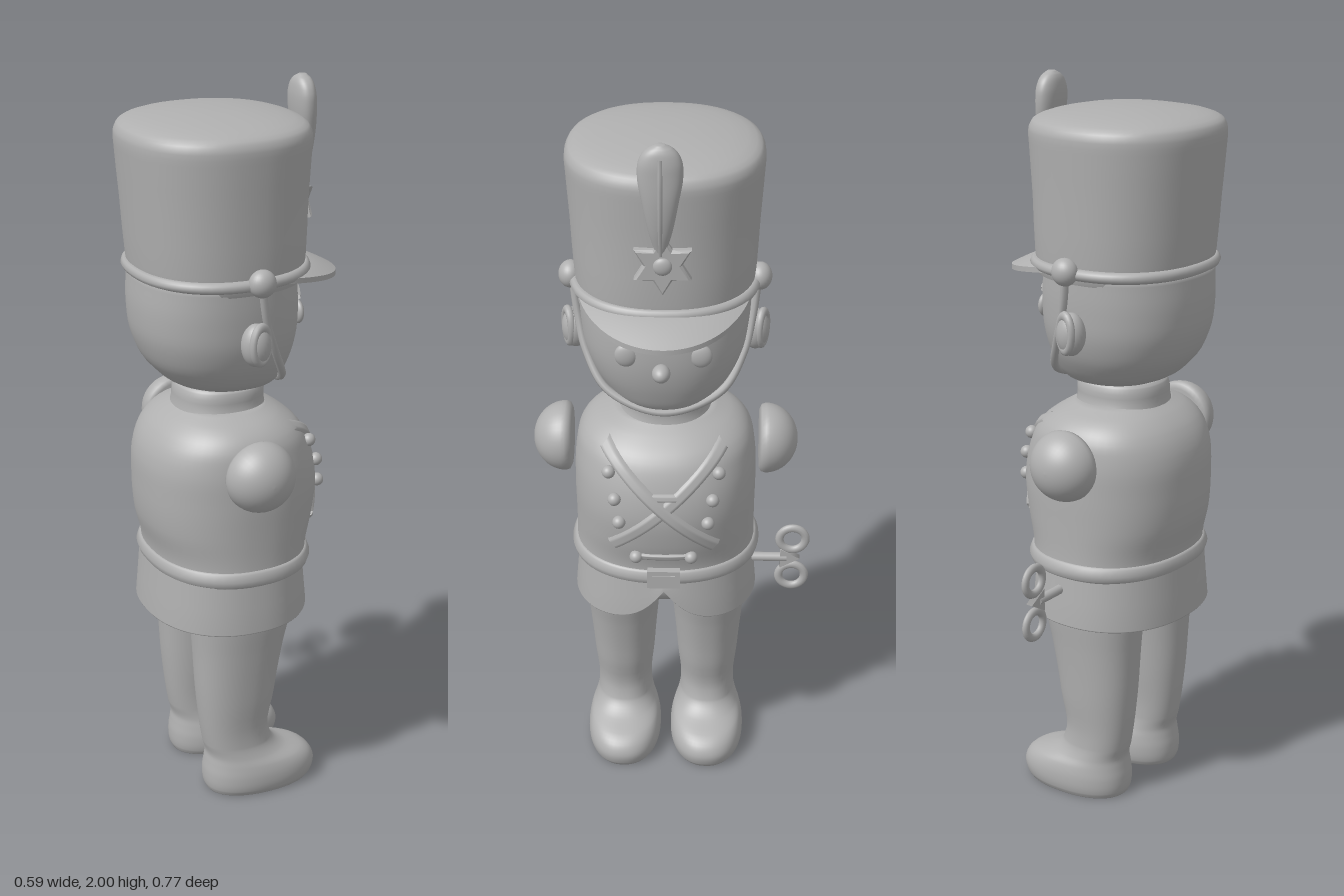
import * as THREE from 'three';

const grey = new THREE.MeshStandardMaterial({ color: 0xb0b0b0, side: THREE.DoubleSide });
grey.name = 'plain grey';
const MID = -0.02; // centre line of the figure
const POW = 2.25; // slightly squared ellipse for cross-sections

// Closed skin over rows of points; pt(row, angle) gives [x, y, z], angle 0 faces +z
function skin(rows, pt, seg = 56) {
  const pos = [], idx = [];
  for (let i = 0; i < rows; i++)
    for (let j = 0; j < seg; j++) pos.push(...pt(i, (j / seg) * Math.PI * 2));
  for (let i = 0; i < rows - 1; i++)
    for (let j = 0; j < seg; j++) {
      const k = (j + 1) % seg, a = i * seg + j, b = i * seg + k, c = b + seg, d = a + seg;
      idx.push(a, b, c, a, c, d);
    }
  const g = new THREE.BufferGeometry();
  g.setAttribute('position', new THREE.Float32BufferAttribute(pos, 3));
  g.setIndex(idx);
  g.computeVertexNormals();
  return g;
}

// Cross-section [halfWidth, centreZ, halfDepth] at any height of a row table
function profile(rows) {
  const f = new THREE.CubicInterpolant(rows.map(r => r[0]), rows.flatMap(r => r.slice(1)), 3);
  return y => Array.from(f.evaluate(y));
}
const pw = v => Math.sign(v) * Math.abs(v) ** (2 / POW);

// Smooth body through rows [y, halfWidth, centreZ, halfDepth], closed at both ends
function loft(rows, cx = MID, steps = 5) {
  const at = profile(rows), ys = [rows[0][0]];
  for (let i = 1; i < rows.length; i++)
    for (let s = 1; s <= steps; s++)
      ys.push(THREE.MathUtils.lerp(rows[i - 1][0], rows[i][0], s / steps));
  const list = ys.map(y => [y, ...at(y)]);
  const first = list[0], last = list[list.length - 1];
  const cap = r => [r[0], 0, r[2], 0];
  const all = [cap(first), [first[0], first[1] * 0.97, first[2], first[3] * 0.97], ...list, cap(last)];
  return skin(all.length, (i, t) => {
    const [y, rx, cz, rz] = all[i];
    return [cx + rx * pw(Math.sin(t)), y, cz + rz * pw(Math.cos(t))];
  });
}

// Front surface depth of a lofted body
function frontOf(rows) {
  const at = profile(rows);
  return (x, y) => {
    const [rx, cz, rz] = at(y);
    return cz + rz * Math.max(0, 1 - Math.abs((x - MID) / rx) ** POW) ** (1 / POW);
  };
}

// Raised band running over a surface between two front-view points
function band(front, [ax, ay], [bx, by], width, lift) {
  const g = new THREE.PlaneGeometry(1, 1, 24, 6), p = g.attributes.position;
  const len = Math.hypot(bx - ax, by - ay), nx = -(by - ay) / len, ny = (bx - ax) / len;
  for (let i = 0; i < p.count; i++) {
    const u = p.getX(i) + 0.5, v = p.getY(i);
    const x = ax + (bx - ax) * u + nx * v * width, y = ay + (by - ay) * u + ny * v * width;
    p.setXYZ(i, x, y, front(x, y) + (Math.abs(v) > 0.45 ? -0.006 : lift));
  }
  g.computeVertexNormals();
  return g;
}

const torsoRows = [
  [0.68, 0.252, -0.02, 0.213], [0.74, 0.249, -0.02, 0.217], [0.82, 0.249, -0.02, 0.237],
  [0.92, 0.25, -0.018, 0.246], [1.02, 0.245, -0.025, 0.232], [1.08, 0.228, -0.028, 0.2],
  [1.115, 0.19, -0.033, 0.158], [1.14, 0.13, -0.035, 0.115]];
const headRows = [
  [1.175, 0.055, 0.03, 0.06], [1.2, 0.125, -0.01, 0.13], [1.25, 0.178, -0.035, 0.18],
  [1.33, 0.215, -0.047, 0.213], [1.42, 0.227, -0.051, 0.222], [1.52, 0.23, -0.053, 0.215]];
const legRows = [
  [0, 0.095, 0.032, 0.155], [0.015, 0.103, 0.034, 0.163], [0.055, 0.107, 0.035, 0.166],
  [0.09, 0.1, 0.022, 0.148], [0.115, 0.088, -0.01, 0.113], [0.15, 0.079, -0.033, 0.099],
  [0.3, 0.088, -0.038, 0.113], [0.45, 0.1, -0.03, 0.13], [0.55, 0.11, -0.022, 0.145],
  [0.64, 0.113, -0.02, 0.15]];
const hatRows = [
  [1.495, 0.232, -0.04, 0.222], [1.55, 0.238, -0.041, 0.23], [1.7, 0.246, -0.045, 0.238],
  [1.84, 0.255, -0.047, 0.248], [1.87, 0.256, -0.047, 0.249], [1.89, 0.25, -0.047, 0.243],
  [1.905, 0.232, -0.047, 0.226], [1.92, 0.17, -0.047, 0.165], [1.93, 0.07, -0.047, 0.07]];
const plumeRows = [
  [1.71, 0.014, 0.198, 0.014], [1.77, 0.03, 0.206, 0.022], [1.85, 0.045, 0.212, 0.026],
  [1.92, 0.056, 0.208, 0.03], [1.965, 0.05, 0.207, 0.028], [1.99, 0.03, 0.207, 0.02],
  [2, 0.01, 0.207, 0.01]];

export function createModel() {
  const model = new THREE.Group(), body = new THREE.Group();
  model.name = 'toySoldier';
  body.name = 'soldierFigure';
  body.rotation.y = Math.PI / 2; // the figure looks along +x
  model.add(body);
  const add = (name, geo, x = 0, y = 0, z = 0, sx = 1, sy = sx, sz = sx) => {
    const m = new THREE.Mesh(geo, grey);
    m.name = name;
    m.position.set(x, y, z);
    m.scale.set(sx, sy, sz);
    body.add(m);
    return m;
  };
  const ball = new THREE.SphereGeometry(1, 28, 18);
  const chest = frontOf(torsoRows), face = frontOf(headRows);

  // Legs with boots, and the seat between them
  for (const s of [-1, 1]) add(s < 0 ? 'rightLeg' : 'leftLeg', loft(legRows, MID + s * 0.122));
  add('pelvis', ball, MID, 0.62, -0.02, 0.22, 0.105, 0.155);

  // Coat skirt with a parted front hem: inside centre, inner wall, hem, outer wall
  const skirt = [[0, 0, 1], [0.87, 0.1, 1], [0.95, 0.0, 0], [1, 0.004, 0], [1.01, 0.03, 0], [0.985, 0.5, 0], [0.96, 1, 0]];
  add('coatSkirt', skin(skirt.length, (i, t) => {
    const [r, k, inner] = skirt[i];
    const a = Math.min(t, Math.PI * 2 - t), hem = 0.54 + 0.115 * Math.exp(-4.7 * a);
    const y = inner ? 0.665 : THREE.MathUtils.lerp(hem, 0.69, k);
    return [MID + 0.255 * r * pw(Math.sin(t)), y, -0.027 + 0.224 * r * pw(Math.cos(t))];
  }, 96));

  // Jacket, belt and collar
  add('jacket', loft(torsoRows));
  add('belt', loft([[0.68, 0.25, -0.02, 0.212], [0.686, 0.259, -0.02, 0.222],
    [0.72, 0.257, -0.02, 0.222], [0.727, 0.248, -0.02, 0.214]], MID, 2));
  add('collar', loft([[1.11, 0.135, -0.035, 0.13], [1.15, 0.122, -0.035, 0.122],
    [1.19, 0.118, -0.033, 0.118], [1.2, 0.108, -0.033, 0.108]], MID, 3));
  add('beltBuckle', new THREE.BoxGeometry(0.09, 0.056, 0.03), MID, 0.708, 0.2);
  add('buckleInset', new THREE.BoxGeometry(0.062, 0.03, 0.036), MID, 0.708, 0.2);

  // Crossed straps, chest bars and buttons
  for (const s of [-1, 1]) {
    add('crossStrap', band(chest, [MID - s * 0.16, 1.095], [MID + s * 0.14, 0.81], 0.042, 0.009 + s * 0.002));
    for (const [dx, y] of [[0.148, 1.035], [0.132, 0.967], [0.12, 0.9], [0.075, 0.782]])
      add('button', ball, MID + s * dx, y, chest(MID + s * dx, y) + 0.006, 0.018);
  }
  for (const [y, w] of [[0.782, 0.07], [0.985, 0.035]])
    add('chestBar', band(chest, [MID - w, y], [MID + w, y], 0.022, 0.008));

  // Rounded stub arms with flat inner faces
  const armPoints = [[0, 0], [0.08, 0], [0.093, 0.006]].map(p => new THREE.Vector2(...p));
  for (let i = 0; i <= 14; i++) {
    const a = (i / 14) * Math.PI / 2;
    armPoints.push(new THREE.Vector2(0.097 * Math.cos(a), 0.018 + 0.089 * Math.sin(a)));
  }
  for (const s of [-1, 1])
    add('armStub', new THREE.LatheGeometry(armPoints, 36), MID + s * 0.258, 1.015, -0.04)
      .rotation.z = -s * Math.PI / 2;

  // Head, face and ears
  add('head', loft(headRows));
  add('nose', ball, MID - 0.005, 1.355, face(MID, 1.355) + 0.022, 0.024, 0.023, 0.03);
  for (const s of [-1, 1]) {
    const ex = MID + s * 0.097;
    add('eye', ball, ex, 1.388, face(ex, 1.388), 0.03, 0.033, 0.014);
    add('eyebrow', band(face, ...[[ex - 0.035, 1.447 - s * -0.008], [ex + 0.035, 1.447 - s * 0.008]], 0.016, 0.007));
    add('ear', ball, MID + s * 0.24, 1.365, -0.035, 0.037, 0.058, 0.04);
    add('earRim', new THREE.TorusGeometry(0.037, 0.011, 10, 28), MID + s * 0.258, 1.37, -0.03, 0.8, 1.25, 1)
      .rotation.y = s * 1.2;
    add('strapBoss', ball, MID + s * 0.248, 1.53, -0.022, 0.032, 0.037, 0.037);
  }

  // Chin strap
  const half = [[0.243, 1.52, -0.02], [0.23, 1.42, 0.0], [0.208, 1.33, 0.035], [0.15, 1.24, 0.085]];
  const strapPath = [...half.map(([x, y, z]) => [-x, y, z]), [0, 1.192, 0.118], ...half.slice().reverse()]
    .map(([x, y, z]) => new THREE.Vector3(MID + x, y, z));
  add('chinStrap', new THREE.TubeGeometry(new THREE.CatmullRomCurve3(strapPath), 64, 0.011, 8));

  // Tall hat with a band and a drooping peak
  add('hat', loft(hatRows, MID, 2));
  add('hatBand', loft([[1.508, 0.236, -0.04, 0.226], [1.514, 0.248, -0.04, 0.238],
    [1.532, 0.249, -0.04, 0.239], [1.54, 0.238, -0.04, 0.23]], MID, 2));
  const peak = new THREE.BoxGeometry(2.6, 0.014, 1, 48, 1, 8), pp = peak.attributes.position;
  for (let i = 0; i < pp.count; i++) {
    const t = pp.getX(i), v = pp.getZ(i) + 0.5, c = Math.max(0, Math.cos(t * 1.2));
    pp.setXYZ(i, MID + 0.238 * Math.sin(t), 1.522 + pp.getY(i) - 0.045 * c * v ** 1.3,
      -0.042 + 0.23 * Math.cos(t) + 0.107 * Math.sqrt(c) * v);
  }
  peak.computeVertexNormals();
  add('hatPeak', peak);

  // Star badge and plume
  const star = new THREE.Shape();
  for (let i = 0; i < 12; i++) {
    const r = i % 2 ? 0.042 : 0.075, a = (i * Math.PI) / 6 + Math.PI / 2;
    star[i ? 'lineTo' : 'moveTo'](r * Math.cos(a), r * Math.sin(a));
  }
  star.closePath();
  add('starBadge', new THREE.ExtrudeGeometry(star,
    { depth: 0.028, bevelThickness: 0.008, bevelSize: 0.006, bevelSegments: 1 }), MID, 1.675, 0.176);
  add('badgeCentre', ball, MID, 1.675, 0.212, 0.024, 0.024, 0.012);
  add('plume', loft(plumeRows, MID - 0.005));
  add('plumeRib', new THREE.TubeGeometry(new THREE.CatmullRomCurve3([[1.7, 0.205], [1.8, 0.231],
    [1.9, 0.238], [1.97, 0.232]].map(([y, z]) => new THREE.Vector3(MID - 0.005, y, z))), 20, 0.007, 6));

  // Wind-up key on the side
  add('keyShaft', new THREE.CylinderGeometry(0.013, 0.013, 0.12, 16), 0.265, 0.64, 0.005).rotation.z = Math.PI / 2;
  add('keyWeb', new THREE.CylinderGeometry(0.037, 0.037, 0.02, 3), 0.325, 0.64, 0.005).rotation.set(Math.PI / 2, Math.PI / 2, 0);
  for (const s of [-1, 1])
    add('keyLoop', new THREE.TorusGeometry(0.037, 0.012, 10, 32), 0.34, 0.64 + s * 0.063, 0.005, 1, 1, 0.8);
  return model;
}
